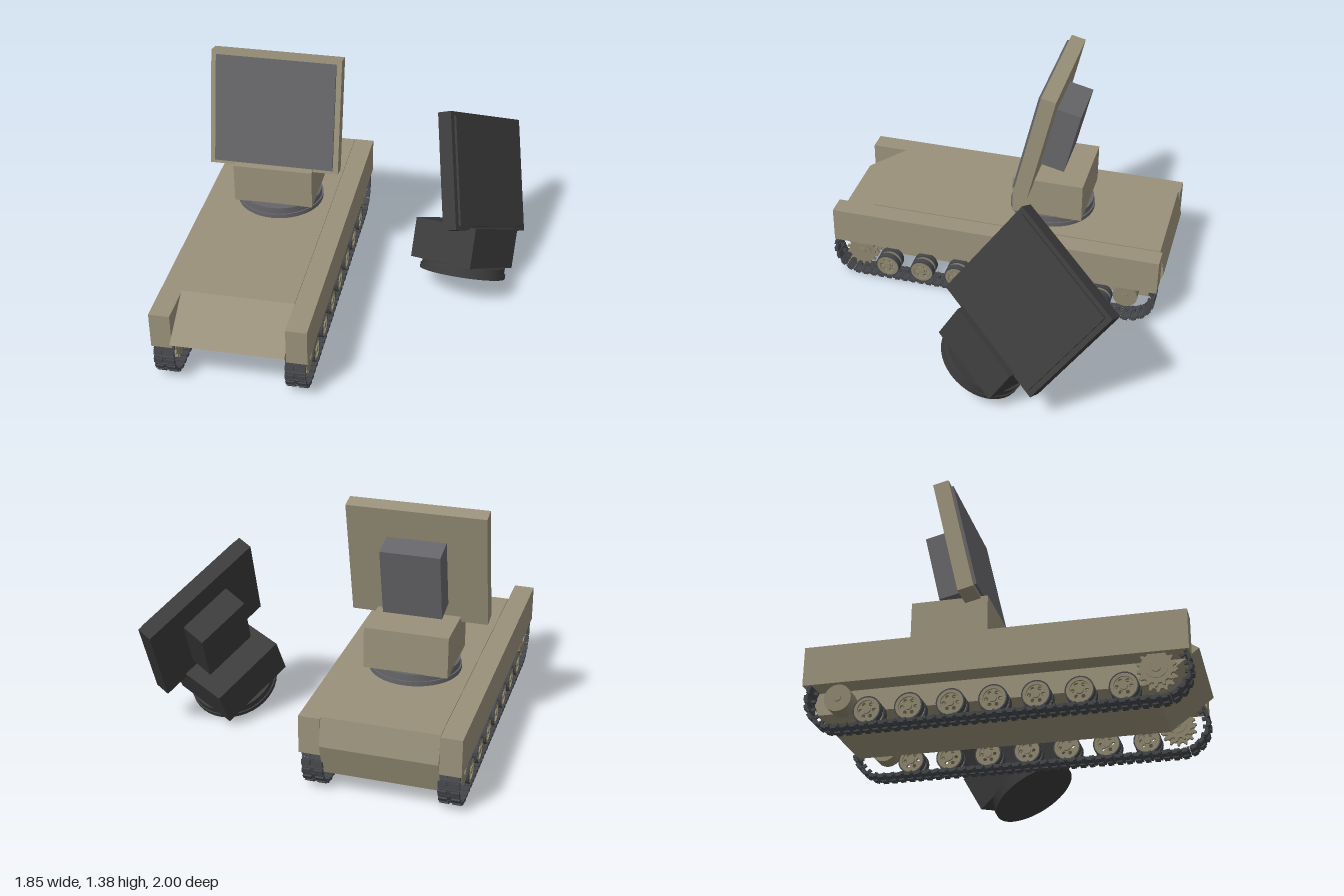
import * as THREE from 'three';
import { mergeGeometries } from 'three/addons/utils/BufferGeometryUtils.js';

const mat = (name, color) => {
  const m = new THREE.MeshStandardMaterial({ color });
  m.name = name;
  return m;
};
const tan = mat('armour tan', 0x99917a);
const wheelTan = mat('wheel tan', 0x8c856d);
const grey = mat('equipment grey', 0x66666a);
const trackDark = mat('track steel', 0x44464a);
const charred = mat('charred metal', 0x3b3b3b);

const CX = -0.515; // centre line of the vehicle
const deg = THREE.MathUtils.degToRad;

function add(parent, name, geo, material, x = 0, y = 0, z = 0) {
  const m = new THREE.Mesh(geo, material);
  m.name = name;
  m.position.set(x, y, z);
  parent.add(m);
  return m;
}
const box = (w, h, d, x = 0, y = 0, z = 0) => new THREE.BoxGeometry(w, h, d).translate(x, y, z);

// Flat outline extruded and turned so that its thickness runs along x
function plate(shape, depth, x = 0) {
  return new THREE.ExtrudeGeometry(shape, { depth, bevelEnabled: false, curveSegments: 12 })
    .translate(0, 0, -depth / 2).rotateY(-Math.PI / 2).translate(x, 0, 0);
}
function disc(radius, holeRadius = 0) {
  const s = new THREE.Shape().absarc(0, 0, radius, 0, Math.PI * 2);
  if (holeRadius) s.holes.push(new THREE.Path().absarc(0, 0, holeRadius, 0, Math.PI * 2, true));
  return s;
}
const hub = (r, w) => new THREE.CylinderGeometry(r, r, w, 20).rotateZ(Math.PI / 2);

// Turntable, pedestal and tilted antenna panel; origin at the turntable's underside
function makeTurret(name, body, dark) {
  const g = new THREE.Group();
  g.name = name;
  add(g, 'turntableBase', new THREE.CylinderGeometry(0.25, 0.25, 0.025, 40), dark, 0, 0.0125, 0);
  add(g, 'turntableRing', new THREE.CylinderGeometry(0.242, 0.242, 0.04, 40), dark, 0, 0.043, 0);
  add(g, 'pedestal', box(0.455, 0.23, 0.41), body, 0, 0.175, -0.015);
  const panel = new THREE.Group();
  panel.name = 'antenna';
  panel.position.set(0, 0.602, 0.078);
  panel.rotation.x = deg(-13);
  add(panel, 'antennaFrame', box(0.745, 0.665, 0.086), body, 0, 0, -0.043);
  add(panel, 'antennaFace', box(0.685, 0.62, 0.024), dark, 0, -0.001, 0.002);
  add(panel, 'electronicsBox', box(0.32, 0.385, 0.16), dark, 0, -0.03, -0.147);
  g.add(panel);
  return g;
}

// Road wheel: tyre, rim and a web pierced with round holes
function makeRoadWheel() {
  const g = new THREE.Group();
  g.name = 'roadWheel';
  const web = disc(0.055);
  for (let i = 0; i < 6; i++) {
    const a = i * Math.PI / 3;
    web.holes.push(new THREE.Path().absarc(Math.cos(a) * 0.035, Math.sin(a) * 0.035, 0.01, 0, Math.PI * 2, true));
  }
  const tyres = [], rims = [];
  for (const s of [-1, 1]) {
    tyres.push(plate(disc(0.073, 0.066), 0.036, s * 0.03));
    rims.push(plate(disc(0.066, 0.05), 0.036, s * 0.03), plate(web, 0.014, s * 0.033));
  }
  add(g, 'wheelTyre', mergeGeometries(tyres), trackDark);
  add(g, 'wheelRim', mergeGeometries(rims), wheelTan);
  add(g, 'wheelHub', hub(0.019, 0.1), wheelTan);
  return g;
}

// Toothed drive wheel
function makeSprocket() {
  const g = new THREE.Group();
  g.name = 'driveSprocket';
  const pts = [], teeth = 14;
  for (let i = 0; i < teeth; i++) {
    [[0.1, 0.08], [0.3, 0.097], [0.5, 0.097], [0.7, 0.08]].forEach(([f, r]) => {
      const a = (i + f) / teeth * Math.PI * 2;
      pts.push(new THREE.Vector2(Math.cos(a) * r, Math.sin(a) * r));
    });
  }
  const s = new THREE.Shape(pts);
  add(g, 'sprocketPlates', mergeGeometries([plate(s, 0.015, -0.035), plate(s, 0.015, 0.035)]), wheelTan);
  add(g, 'sprocketDrum', hub(0.055, 0.095), wheelTan);
  add(g, 'sprocketCap', hub(0.025, 0.11), wheelTan);
  return g;
}

// Closed belt of links around a stadium-shaped path
function makeTrack() {
  const half = 0.81, R = 0.15, cy = 0.165, links = 84;
  const straight = 2 * half, arc = Math.PI * R, total = 2 * (straight + arc);
  const parts = [];
  const link = mergeGeometries([
    box(0.112, 0.01, 0.04),
    box(0.046, 0.016, 0.028, -0.033, -0.007, 0),
    box(0.046, 0.016, 0.028, 0.033, -0.007, 0),
    box(0.112, 0.018, 0.01, 0, 0.001, 0.021),
    box(0.012, 0.026, 0.018, 0, 0.015, 0),
  ]);
  for (let i = 0; i < links; i++) {
    let d = i / links * total, z, y, a;
    if (d < straight) { z = -half + d; y = cy - R; a = 0; }
    else if (d < straight + arc) {
      a = (d - straight) / R;
      z = half + Math.sin(a) * R; y = cy - Math.cos(a) * R;
    } else if (d < 2 * straight + arc) { z = half - (d - straight - arc); y = cy + R; a = Math.PI; }
    else {
      a = Math.PI + (d - 2 * straight - arc) / R;
      z = -half + Math.sin(a) * R; y = cy - Math.cos(a) * R;
    }
    parts.push(link.clone().rotateX(-a).translate(0, y, z));
  }
  return mergeGeometries(parts);
}

function makeRunningGear(name, x) {
  const g = new THREE.Group();
  g.name = name;
  g.position.x = x;
  add(g, 'track', makeTrack(), trackDark);
  for (let i = 0; i < 7; i++) {
    const w = makeRoadWheel();
    w.position.set(0, 0.086, 0.643 - i * 0.214);
    g.add(w);
  }
  const sprocket = makeSprocket();
  sprocket.position.set(0, 0.167, 0.8);
  g.add(sprocket);
  add(g, 'idlerWheel', hub(0.072, 0.09), wheelTan, 0, 0.167, -0.8);
  add(g, 'idlerCap', hub(0.02, 0.105), wheelTan, 0, 0.167, -0.8);
  return g;
}

export function createModel() {
  const model = new THREE.Group();
  model.name = 'radarVehicle';

  // Hull from its side profile (z, y)
  const profile = [[0.77, 0.12], [1.0, 0.29], [0.74, 0.456], [-0.97, 0.456], [-1.0, 0.3], [-0.94, 0.12]];
  const hull = new THREE.Shape(profile.map(p => new THREE.Vector2(...p)));
  add(model, 'hull', plate(hull, 0.62), tan, CX);

  // Side boxes and running gear, mirrored about the hull
  for (const s of [-1, 1]) {
    const side = s > 0 ? 'left' : 'right';
    add(model, side + 'Sponson', box(0.115, 0.21, 1.945), tan, CX + s * 0.3675, 0.345, -0.01);
    model.add(makeRunningGear(side + 'RunningGear', CX + s * 0.358));
  }

  // Mounted turret
  const turret = makeTurret('turret', tan, grey);
  turret.position.set(CX, 0.456, -0.27);
  model.add(turret);

  // Burnt-out turret lying tilted beside the vehicle
  const wreck = makeTurret('wreckedTurret', charred, charred);
  wreck.position.set(0.59, 0.125, -0.145);
  wreck.rotation.set(deg(-24.6), deg(61.6), deg(-6));
  model.add(wreck);

  return model;
}
